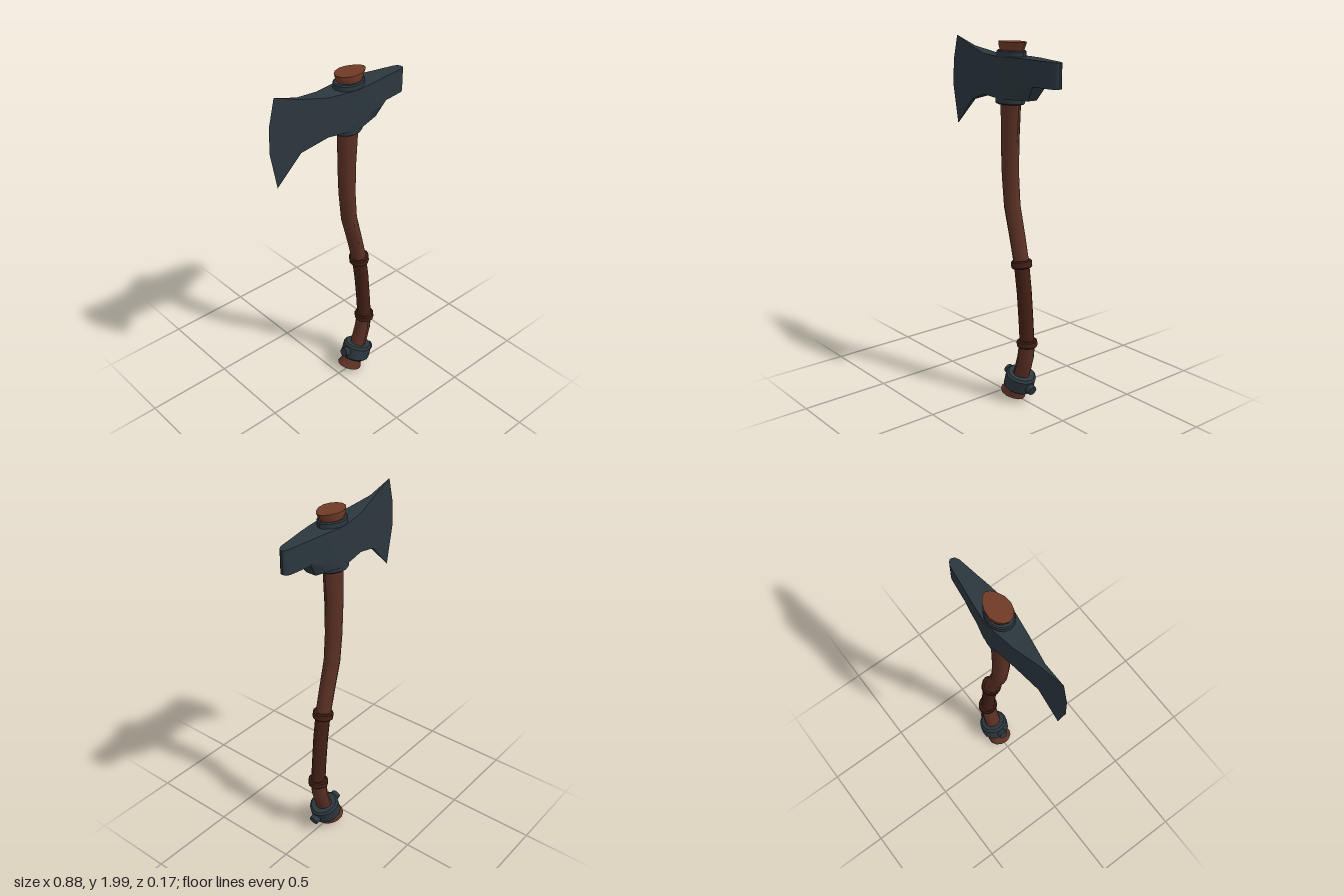
import * as THREE from 'three';
import { toCreasedNormals } from 'three/addons/utils/BufferGeometryUtils.js';

const wood = new THREE.MeshStandardMaterial({ color: 0x5a3024 });
const endWood = new THREE.MeshStandardMaterial({ color: 0x703a27 });
const leather = new THREE.MeshStandardMaterial({ color: 0x432016 });
const steel = new THREE.MeshStandardMaterial({ color: 0x2b373e });

// Skin a closed surface over rings of equal point count
function loft(rings, crease) {
  const n = rings[0].length, pos = [], idx = [];
  rings.forEach(r => r.forEach(p => pos.push(...p)));
  for (let i = 0; i < rings.length - 1; i++) {
    for (let j = 0; j < n; j++) {
      const a = i * n + j, b = i * n + (j + 1) % n;
      idx.push(a, a + n, b, b, a + n, b + n);
    }
  }
  for (const [start, flip] of [[0, false], [(rings.length - 1) * n, true]]) {
    const ring = rings[start / n], c = pos.length / 3;
    pos.push(...[0, 1, 2].map(k => ring.reduce((s, p) => s + p[k], 0) / n));
    for (let j = 0; j < n; j++) {
      const a = start + j, b = start + (j + 1) % n;
      idx.push(c, flip ? b : a, flip ? a : b);
    }
  }
  const g = new THREE.BufferGeometry();
  g.setAttribute('position', new THREE.Float32BufferAttribute(pos, 3));
  g.setIndex(idx);
  return toCreasedNormals(g, crease);
}

// Tilted oval section; pinch narrows its +x side into a soft point
function oval([x, y, tilt, rx, rz], pinch = 0.25, sides = 14) {
  return Array.from({ length: sides }, (_, i) => {
    const a = i / sides * Math.PI * 2, c = Math.cos(a) * rx;
    return [
      x + c * Math.cos(tilt),
      y + c * Math.sin(tilt),
      Math.sin(a) * rz * (1 - pinch * Math.max(0, Math.cos(a))),
    ];
  });
}

// Bevelled band around a section, with height h along the tilted axis
function band([x, y, tilt, rx, rz], h, bevel, pinch) {
  const at = (t, d) => oval([x - Math.sin(tilt) * t, y + Math.cos(tilt) * t, tilt, rx - d, rz - d], pinch);
  return loft([at(-h / 2, bevel), at(-h / 2 + bevel, 0), at(h / 2 - bevel, 0), at(h / 2, bevel)], 0.6);
}

export function createModel() {
  const group = new THREE.Group();
  const add = (name, geometry, material) => {
    const m = new THREE.Mesh(geometry, material);
    m.name = name;
    group.add(m);
    return m;
  };

  // Handle: [x, y, tilt, rx, rz]
  const lower = [
    [0.093, 0.036, -0.33, 0.077, 0.074],
    [0.122, 0.080, -0.32, 0.047, 0.052],
    [0.145, 0.125, -0.32, 0.045, 0.05],
    [0.172, 0.200, -0.28, 0.046, 0.05],
    [0.196, 0.280, -0.15, 0.045, 0.05],
    [0.207, 0.365, 0.0, 0.044, 0.047],
  ];
  const grip = [
    [0.207, 0.365, 0.0, 0.044, 0.042],
    [0.196, 0.500, 0.09, 0.043, 0.042],
    [0.180, 0.660, 0.12, 0.043, 0.043],
    [0.157, 0.810, 0.18, 0.043, 0.044],
  ];
  const upper = [
    [0.157, 0.810, 0.18, 0.043, 0.045],
    [0.120, 0.960, 0.25, 0.043, 0.047],
    [0.077, 1.120, 0.17, 0.045, 0.048],
    [0.062, 1.280, 0.06, 0.048, 0.049],
    [0.058, 1.450, 0.01, 0.053, 0.05],
    [0.064, 1.680, 0.0, 0.062, 0.052],
    [0.073, 1.940, 0.0, 0.070, 0.055],
  ];
  add('lowerHandle', loft(lower.map(s => oval(s)), 0.6), wood);
  add('grip', loft(grip.map(s => oval(s)), 0.6), leather);
  add('upperHandle', loft(upper.map(s => oval(s)), 0.6), wood);
  add('handleTop', loft([
    oval([0.073, 1.935, 0, 0.070, 0.055]),
    oval([0.074, 1.965, 0, 0.083, 0.064]),
    oval([0.076, 1.990, 0, 0.094, 0.064]),
  ], 0.5), endWood);

  // Grip bands
  add('upperGripBand', band([0.157, 0.81, 0.16, 0.058, 0.06], 0.042, 0.006, 0.2), leather);
  add('lowerGripBand', band([0.207, 0.365, 0.05, 0.057, 0.06], 0.038, 0.006, 0.2), leather);

  // Pommel ring with a stud at each end
  const tilt = -0.3;
  add('pommelRing', band([0.147, 0.125, tilt, 0.088, 0.086], 0.095, 0.012, 0.1), steel);
  for (const side of [-1, 1]) {
    const stud = add('pommelStud', new THREE.CylinderGeometry(0.027, 0.03, 0.04, 10), steel);
    stud.position.set(0.147 + side * 0.092 * Math.cos(tilt), 0.125 + side * 0.092 * Math.sin(tilt), 0);
    stud.rotation.z = tilt - side * Math.PI / 2;
  }

  // Axe head: each section lists four [x, y, halfWidth] levels from bottom to top
  const level = (x, ys, ws) => ys.map((y, i) => [x, y, ws[i] ?? ws[0]]);
  const sections = [
    [[-0.405, 1.51, 0], [-0.445, 1.72, 0], [-0.44, 1.86, 0], [-0.405, 2.0, 0]],
    level(-0.26, [1.66, 1.75, 1.86, 1.95], [0.013]),
    level(-0.11, [1.705, 1.76, 1.86, 1.92], [0.046]),
    level(0.0, [1.70, 1.755, 1.86, 1.916], [0.064]),
    level(0.06, [1.70, 1.75, 1.86, 1.916], [0.073]),
    level(0.10, [1.70, 1.75, 1.86, 1.916], [0.071]),
    level(0.16, [1.70, 1.755, 1.86, 1.916], [0.052, 0.064, 0.064, 0.064]),
    level(0.23, [1.70, 1.765, 1.86, 1.915], [0.03, 0.055, 0.055, 0.055]),
    level(0.285, [1.778, 1.79, 1.86, 1.913], [0.046]),
    level(0.41, [1.776, 1.80, 1.86, 1.908], [0.028]),
    level(0.43, [1.776, 1.80, 1.86, 1.907], [0.018]),
    level(0.44, [1.78, 1.80, 1.86, 1.904], [0.006]),
  ];
  const rings = sections.map(s => [
    ...s.map(([x, y, w]) => [x, y, w]),
    ...[...s].reverse().map(([x, y, w]) => [x, y, -w]),
  ]);
  add('axeHead', loft(rings, 0.3), steel);

  // Collars where the handle passes through the head
  add('upperCollar', band([0.068, 1.925, 0, 0.092, 0.071], 0.044, 0.006, 0.2), steel);
  add('lowerCollar', band([0.060, 1.695, 0, 0.090, 0.073], 0.052, 0.006, 0.2), steel);

  return group;
}
